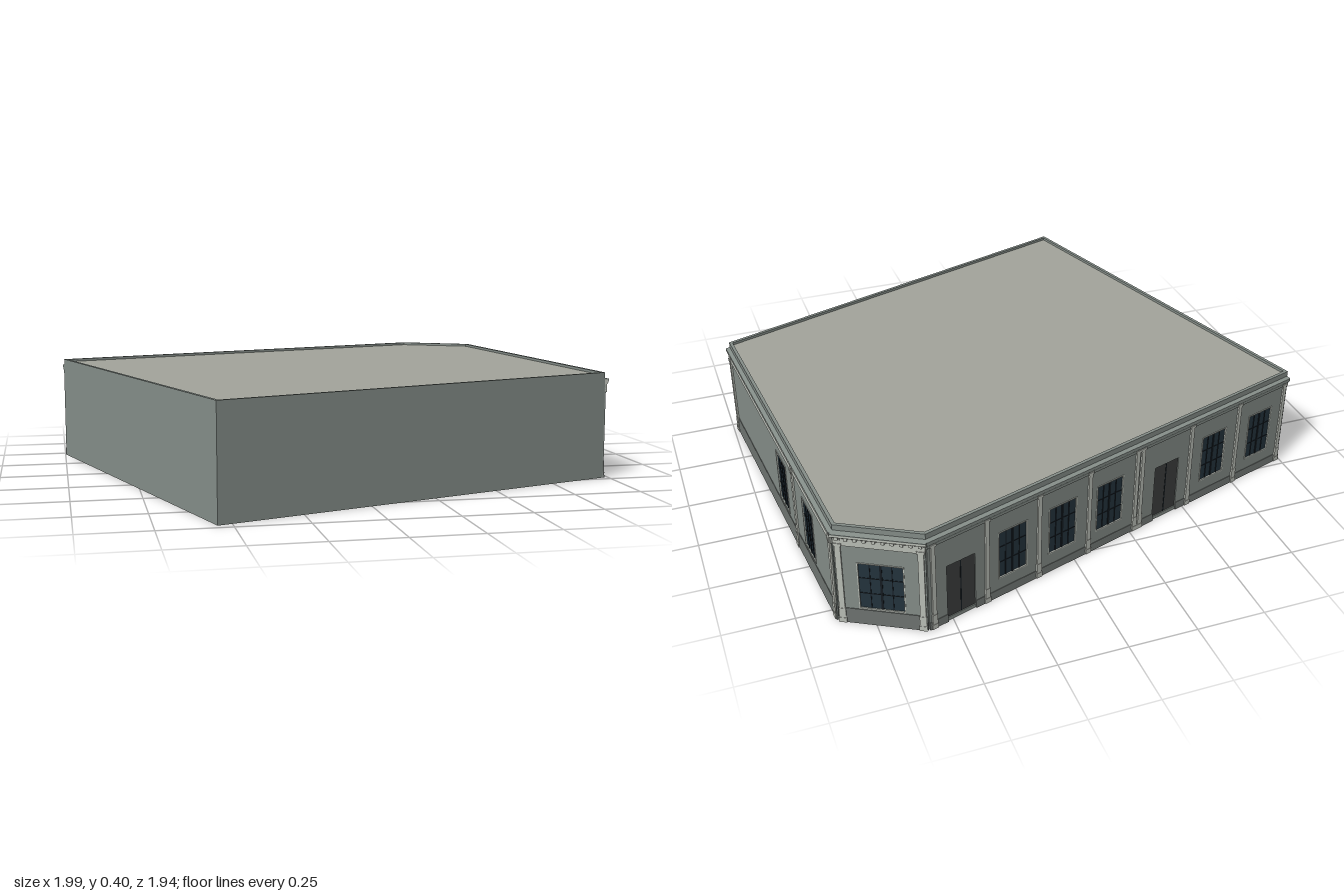
import * as THREE from 'three';

const mat = (color) => new THREE.MeshStandardMaterial({ color, flatShading: true });
const WALL = mat(0x868f8a), ROOF = mat(0xa3a59c), TRIM = mat(0xbec2ba);
const GLASS = mat(0x24343e), BAR = mat(0x151c22), DOOR = mat(0x3e403f), PLINTH = mat(0x6e7370);

// Footprint corners (x, z)
const A = [-0.995, -0.458], B = [0.592, -0.95], C = [0.86, -0.803], D = [0.975, 0.475], E = [-0.55, 0.971];
const FOOTPRINT = [A, B, C, D, E];
const H = 0.4, SKIN = 0.005;

function add(parent, name, geometry, material) {
  const mesh = new THREE.Mesh(geometry, material);
  mesh.name = name;
  parent.add(mesh);
  return mesh;
}

// Box given by its x, y and z ranges
function block(parent, name, x0, x1, y0, y1, z0, z1, material) {
  const mesh = add(parent, name, new THREE.BoxGeometry(x1 - x0, y1 - y0, z1 - z0), material);
  mesh.position.set((x0 + x1) / 2, (y0 + y1) / 2, (z0 + z1) / 2);
}

// Moulding: a profile of [outward, y] points run along x
function moulding(parent, name, profile, x0, x1, material) {
  const shape = new THREE.Shape(profile.map(([o, y]) => new THREE.Vector2(-o, y)));
  const geometry = new THREE.ExtrudeGeometry(shape, { depth: x1 - x0, bevelEnabled: false });
  geometry.rotateY(Math.PI / 2);
  add(parent, name, geometry, material).position.x = x0;
}

function rectPath(x0, x1, y0, y1, Type) {
  return new Type([[x0, y0], [x1, y0], [x1, y1], [x0, y1]].map((p) => new THREE.Vector2(...p)));
}

// Footprint pulled in towards its middle by a constant wall thickness
function inset(points, t) {
  const n = points.length;
  const line = (i) => {
    const p = points[i % n], q = points[(i + 1) % n];
    const dx = q[0] - p[0], dz = q[1] - p[1], l = Math.hypot(dx, dz);
    const nx = -dz / l, nz = dx / l;
    return [nx, nz, nx * p[0] + nz * p[1] + t];
  };
  return points.map((_, i) => {
    const [a, b, c] = line(i + n - 1), [d, e, f] = line(i);
    const det = a * e - b * d;
    return [(c * e - b * f) / det, (a * f - c * d) / det];
  });
}

// Flat plan shape raised from y0 to y1; the hole runs the opposite way round
function plan(parent, name, outer, hole, y0, y1, material) {
  const toV = ([x, z]) => new THREE.Vector2(x, -z);
  const shape = new THREE.Shape(outer.map(toV));
  if (hole) shape.holes.push(new THREE.Path(hole.map(toV).reverse()));
  const geometry = new THREE.ExtrudeGeometry(shape, { depth: y1 - y0, bevelEnabled: false });
  geometry.rotateX(-Math.PI / 2);
  add(parent, name, geometry, material).position.y = y0;
}

function makeWindow(parent, cx, w, y0, y1) {
  const g = new THREE.Group();
  g.name = 'window';
  const x0 = cx - w / 2, x1 = cx + w / 2, f = 0.004;
  block(g, 'glass', x0, x1, y0, y1, 0, 0.0015, GLASS);
  // Light surround
  const ring = rectPath(x0 - f, x1 + f, y0 - f, y1 + f, THREE.Shape);
  ring.holes.push(rectPath(x0, x1, y0, y1, THREE.Path));
  add(g, 'windowFrame', new THREE.ExtrudeGeometry(ring, { depth: SKIN + 0.002, bevelEnabled: false }), TRIM);
  // Mullion, glazing bars and transoms
  for (const [t, b] of [[0, 0.004], [-0.25, 0.0015], [0.25, 0.0015]]) {
    block(g, 'glazingBar', cx + t * w - b, cx + t * w + b, y0, y1, 0.001, 0.004, BAR);
  }
  for (const t of [0.33, 0.67]) {
    const y = y0 + t * (y1 - y0);
    block(g, 'transom', x0, x1, y - 0.0015, y + 0.0015, 0.001, 0.003, BAR);
  }
  parent.add(g);
}

// Pilaster with a slightly flared foot and a small cap
function makePilaster(parent, x, w, top) {
  const g = new THREE.Group();
  g.name = 'pilaster';
  const h = w / 2;
  block(g, 'pilasterShaft', x - h, x + h, 0, 0.365, 0, 0.011, TRIM);
  block(g, 'pilasterBase', x - h - 0.002, x + h + 0.002, 0, 0.06, 0, 0.012, TRIM);
  block(g, 'pilasterFoot', x - h - 0.004, x + h + 0.004, 0, 0.02, 0, 0.013, TRIM);
  block(g, 'pilasterCap', x - h - 0.004, x + h + 0.004, top - 0.01, top, 0, 0.013, TRIM);
  parent.add(g);
}

// Decorated street front from p to q, seen left to right from outside
function makeFacade(name, p, q, o) {
  const g = new THREE.Group();
  g.name = name;
  const L = Math.hypot(q[0] - p[0], q[1] - p[1]);
  g.position.set(p[0], 0, p[1]);
  g.rotation.y = Math.atan2(p[1] - q[1], q[0] - p[0]);
  const { doors = [], windows, pilasters, frieze, plinth, ends, reach } = o;
  const [y0, y1] = o.windowY, w = o.windowWidth, dw = 0.115;

  // Outer skin with openings
  const skin = rectPath(0, L, 0, 0.37, THREE.Shape);
  for (const t of windows) skin.holes.push(rectPath(t * L - w / 2, t * L + w / 2, y0, y1, THREE.Path));
  for (const t of doors) skin.holes.push(rectPath(t * L - dw / 2, t * L + dw / 2, 0.015, 0.235, THREE.Path));
  add(g, 'facadeWall', new THREE.ExtrudeGeometry(skin, { depth: SKIN, bevelEnabled: false }), WALL);

  for (const t of windows) makeWindow(g, t * L, w, y0, y1);
  for (const t of doors) {
    block(g, 'door', t * L - dw / 2, t * L + dw / 2, 0.015, 0.235, 0, 0.0015, DOOR);
    block(g, 'doorSeam', t * L - 0.002, t * L + 0.002, 0.015, 0.235, 0, 0.003, BAR);
  }
  for (const t of pilasters) makePilaster(g, t * L, o.pilasterWidth, frieze + 0.01);

  // Sloping plinth, broken at the doors
  let start = 0;
  for (const t of [...doors, null]) {
    const end = t === null ? L : t * L - dw / 2;
    moulding(g, 'plinth', [[0, 0], [0.01, 0], [0.007, plinth], [0, plinth]], start, end, PLINTH);
    if (t !== null) start = t * L + dw / 2;
  }

  // Frieze, cornice with a weathered top, and dentils
  const e0 = ends[0], e1 = L + ends[1];
  block(g, 'frieze', 0, L, frieze, 0.36, 0, 0.009, o.friezeMaterial);
  moulding(g, 'cornice', [[0, 0.355], [0.01, 0.355], [reach, 0.365], [reach, 0.373], [0, 0.373]], e0, e1, o.friezeMaterial);
  moulding(g, 'corniceTop', [[0, 0.373], [reach, 0.373], [reach, 0.376], [0, 0.379]], e0, e1, WALL);
  for (let i = 0; i < o.dentils; i++) {
    const x = ((i + 0.5) / o.dentils) * L;
    block(g, 'dentil', x - 0.006, x + 0.006, 0.352, 0.366, 0.008, 0.018, TRIM);
  }
  return g;
}

export function createModel() {
  const model = new THREE.Group();
  model.name = 'cornerShopBuilding';

  // Hollow shell with parapet, open underneath
  const inner = inset(FOOTPRINT, 0.012);
  plan(model, 'outerWalls', FOOTPRINT, inner, 0, H, WALL);
  plan(model, 'roof', inner, null, 0.38, 0.39, ROOF);

  model.add(makeFacade('sideFacade', D, C, {
    windows: [0.54, 0.783], windowWidth: 0.112, windowY: [0.08, 0.28], friezeMaterial: TRIM, dentils: 0,
    pilasters: [0.016, 0.66, 0.985], pilasterWidth: 0.02, frieze: 0.325, plinth: 0.065, ends: [0, 0.006], reach: 0.016,
  }));
  model.add(makeFacade('cornerFacade', C, B, {
    windows: [0.5], windowWidth: 0.15, windowY: [0.068, 0.255], friezeMaterial: TRIM, dentils: 10,
    pilasters: [0.05, 0.95], pilasterWidth: 0.02, frieze: 0.325, plinth: 0.06, ends: [-0.006, 0.006], reach: 0.021,
  }));
  model.add(makeFacade('backFacade', B, A, {
    doors: [0.079, 0.631], windows: [0.208, 0.338, 0.467, 0.773, 0.919], windowWidth: 0.115, windowY: [0.08, 0.27],
    pilasters: [0.012, 0.142, 0.275, 0.409, 0.541, 0.556, 0.7, 0.846, 0.99], friezeMaterial: WALL, dentils: 0,
    pilasterWidth: 0.016, frieze: 0.345, plinth: 0.03, ends: [-0.006, 0], reach: 0.016,
  }));
  return model;
}
